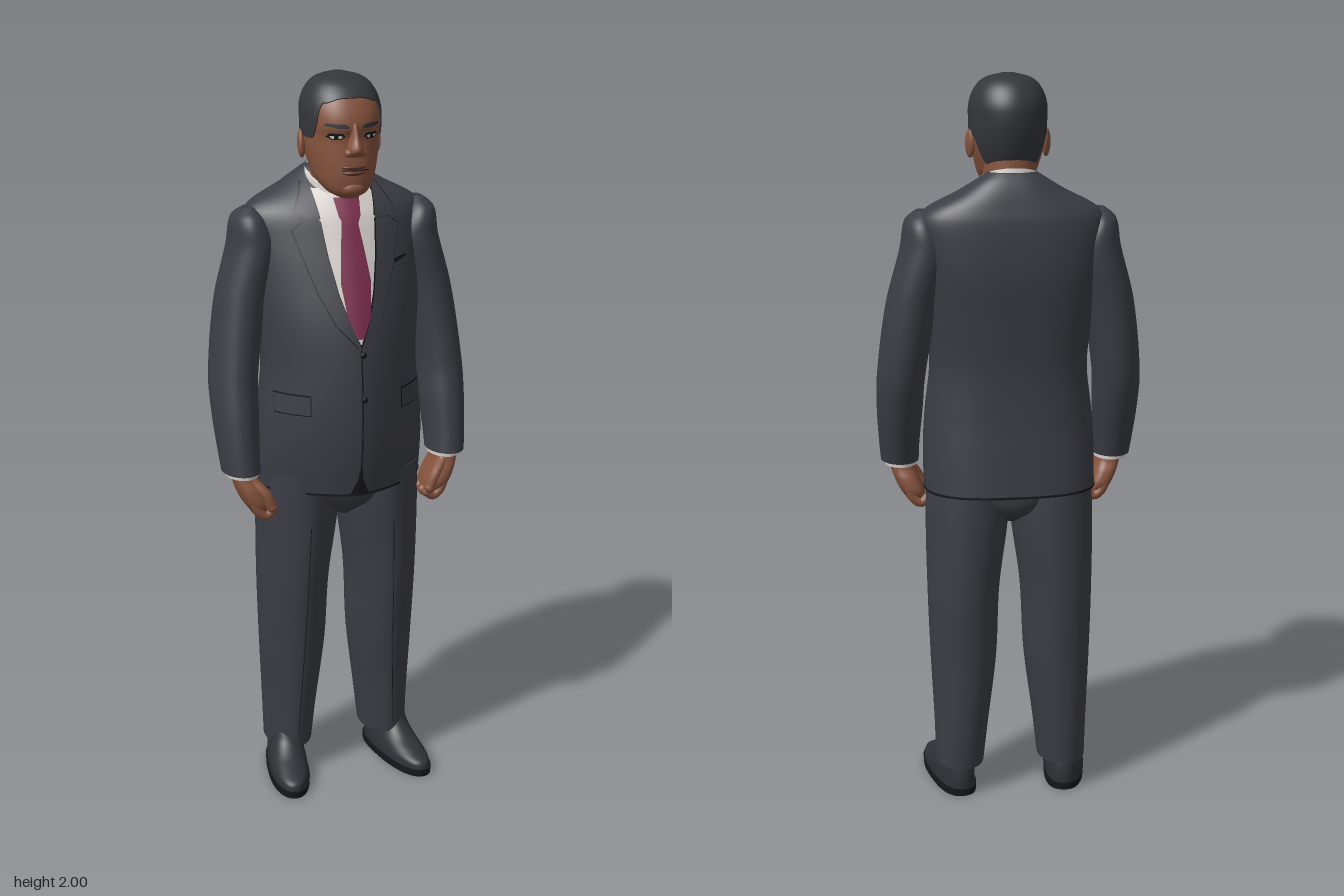
import * as THREE from 'three';

const mat = (name, color, side = THREE.FrontSide) => {
  const m = new THREE.MeshStandardMaterial({ color, side });
  m.name = name;
  return m;
};

// Cross-section rows are [y, centreX, halfWidth, zBack, zFront], smoothly interpolated in y
function section(rows, y) {
  const last = rows.length - 1;
  let i = 0;
  while (i < last - 1 && y > rows[i + 1][0]) i++;
  const h = rows[i + 1][0] - rows[i][0];
  const t = THREE.MathUtils.clamp((y - rows[i][0]) / h, 0, 1);
  const slope = (k, c) => {
    const a = rows[Math.max(k - 1, 0)], b = rows[Math.min(k + 1, last)];
    return (b[c] - a[c]) / (b[0] - a[0]);
  };
  const value = (c) => {
    const p = rows[i][c], q = rows[i + 1][c], t2 = t * t, t3 = t2 * t;
    return p * (2 * t3 - 3 * t2 + 1) + q * (3 * t2 - 2 * t3)
      + h * (slope(i, c) * (t3 - 2 * t2 + t) + slope(i + 1, c) * (t3 - t2));
  };
  const zb = value(3), zf = value(4);
  return { cx: value(1), rx: Math.max(value(2), 0.001), cz: (zb + zf) / 2, rz: Math.max((zf - zb) / 2, 0.001) };
}

// Rounded outline with separate front and back fullness
function ringPoint(rows, y, a, nf, nb, grow = 0) {
  const s = section(rows, y), c = Math.cos(a), d = Math.sin(a), n = d >= 0 ? nf : nb;
  const pow = (v) => Math.sign(v) * Math.pow(Math.abs(v), 2 / n);
  return [s.cx + (s.rx + grow) * pow(c), y, s.cz + (s.rz + grow) * pow(d)];
}

// Closed-ring surface with optional end caps
function tubeSurface(point, nu, nv, caps) {
  const pos = [], idx = [];
  for (let j = 0; j <= nv; j++) for (let i = 0; i < nu; i++) pos.push(...point(i / nu * Math.PI * 2, j / nv));
  for (let j = 0; j < nv; j++) for (let i = 0; i < nu; i++) {
    const a = j * nu + i, b = j * nu + (i + 1) % nu;
    idx.push(a, a + nu, b, b, a + nu, b + nu);
  }
  if (caps) for (const j of [0, nv]) {
    const base = pos.length / 3, mid = [0, 0, 0];
    for (let i = 0; i < nu; i++) {
      const p = pos.slice((j * nu + i) * 3, (j * nu + i) * 3 + 3);
      p.forEach((v, k) => { mid[k] += v / nu; });
      pos.push(...p);
    }
    pos.push(...mid);
    for (let i = 0; i < nu; i++) {
      const a = base + i, b = base + (i + 1) % nu;
      idx.push(base + nu, ...(j ? [b, a] : [a, b]));
    }
  }
  return geometry(pos, idx);
}

function geometry(pos, idx) {
  const g = new THREE.BufferGeometry();
  g.setAttribute('position', new THREE.Float32BufferAttribute(pos, 3));
  g.setIndex(idx);
  g.computeVertexNormals();
  return g;
}

function loft(rows, { nf = 2, nb = 2, tilt = 0, nu = 48, nv = 40 } = {}) {
  const y0 = rows[0][0], y1 = rows[rows.length - 1][0];
  return tubeSurface((a, t) => {
    const p = ringPoint(rows, y0 + (y1 - y0) * t, a, nf, nb);
    p[1] -= tilt * (p[2] + 0.05);
    return p;
  }, nu, nv, true);
}

// Thin panel lying on the front of a loft; spans are [y, x0, x1]
function panel(rows, nf, spans, offset, side = 1) {
  const pos = [], idx = [], nx = 10, ny = 8, total = (spans.length - 1) * ny;
  for (let j = 0; j <= total; j++) {
    const k = Math.min(Math.floor(j / ny), spans.length - 2), t = j / ny - k;
    const [y, p, q] = spans[k].map((v, c) => v + (spans[k + 1][c] - v) * t);
    const x0 = Math.min(p * side, q * side), x1 = Math.max(p * side, q * side), s = section(rows, y);
    for (let i = 0; i <= nx; i++) {
      const x = x0 + (x1 - x0) * i / nx, u = Math.min(Math.abs(x - s.cx) / s.rx, 1);
      pos.push(x, y, s.cz + s.rz * Math.pow(1 - Math.pow(u, nf), 1 / nf) + offset);
    }
  }
  for (let j = 0; j < total; j++) for (let i = 0; i < nx; i++) {
    const a = j * (nx + 1) + i, c = a + nx + 1;
    idx.push(a, a + 1, c, a + 1, c + 1, c);
  }
  return geometry(pos, idx);
}

const TORSO = [[0.885, 0, 0.235, -0.185, 0.165], [1.0, 0, 0.235, -0.175, 0.183], [1.1, 0, 0.228, -0.167, 0.188],
  [1.22, 0, 0.215, -0.165, 0.183], [1.35, 0, 0.225, -0.175, 0.163], [1.48, 0, 0.24, -0.186, 0.125],
  [1.57, 0, 0.25, -0.184, 0.092], [1.63, 0, 0.248, -0.178, 0.068], [1.66, 0, 0.222, -0.17, 0.05],
  [1.7, 0, 0.145, -0.158, 0.022], [1.735, 0, 0.088, -0.142, -0.015], [1.75, 0, 0.065, -0.128, -0.03]];
const HEAD = [[1.685, 0, 0.025, 0.03, 0.095], [1.7, 0, 0.052, 0, 0.113], [1.73, 0, 0.075, -0.06, 0.12],
  [1.77, 0, 0.088, -0.092, 0.121], [1.81, 0, 0.096, -0.11, 0.118], [1.845, 0, 0.099, -0.12, 0.117],
  [1.875, 0, 0.1, -0.125, 0.126], [1.92, 0, 0.099, -0.123, 0.114], [1.96, 0, 0.083, -0.102, 0.088],
  [1.985, 0, 0.055, -0.07, 0.052], [1.996, 0, 0.012, -0.03, 0.005]];
const ARM = [[1.65, 0.238, 0.015, -0.08, -0.03], [1.625, 0.24, 0.042, -0.125, 0.015], [1.55, 0.23, 0.066, -0.145, 0.033],
  [1.4, 0.266, 0.069, -0.14, 0.04], [1.2, 0.295, 0.065, -0.12, 0.065], [1.1, 0.298, 0.062, -0.09, 0.085],
  [1.0, 0.298, 0.055, -0.052, 0.102], [0.95, 0.296, 0.052, -0.034, 0.11]].reverse();
const LEG = [[0.085, 0.145, 0.067, -0.14, 0.05], [0.2, 0.14, 0.075, -0.15, 0.06], [0.4, 0.132, 0.092, -0.155, 0.08],
  [0.6, 0.13, 0.1, -0.16, 0.1], [0.8, 0.118, 0.114, -0.157, 0.112], [0.93, 0.115, 0.112, -0.15, 0.12]];
const HAND = [[0.835, 0.25, 0.026, -0.005, 0.095], [0.865, 0.263, 0.034, -0.018, 0.106], [0.9, 0.278, 0.035, -0.014, 0.104],
  [0.93, 0.288, 0.034, -0.002, 0.094], [0.97, 0.294, 0.034, 0, 0.085]];

export function createModel() {
  const root = new THREE.Group();
  root.name = 'standingMan';
  const suit = mat('charcoalSuit', 0x3c3d45), line = mat('darkEdge', 0x17171a, THREE.DoubleSide);
  const skin = mat('brownSkin', 0x87543e), lips = mat('lips', 0x653a2e), hair = mat('hair', 0x35363b);
  const shirt = mat('whiteShirt', 0xd9d3cf), tie = mat('burgundyTie', 0x7c2f4e), leather = mat('shoeLeather', 0x303137);

  const add = (name, geo, material, parent = root) => {
    const m = new THREE.Mesh(geo, material);
    m.name = name;
    parent.add(m);
    return m;
  };
  const ball = (name, material, p, scale) => {
    const m = add(name, new THREE.SphereGeometry(1, 24, 16), material);
    m.position.set(...p);
    m.scale.set(...scale);
    return m;
  };
  const finger = (name, points, r) => {
    const path = new THREE.CatmullRomCurve3(points.map((p) => new THREE.Vector3(...p)));
    add(name, new THREE.TubeGeometry(path, 12, r, 10), skin);
    for (const p of [points[0], points[points.length - 1]]) ball(name + 'Tip', skin, p, [r, r, r]);
  };
  const NF = 1.55;
  const onChest = (name, spans, offset, material, side) => add(name, panel(TORSO, NF, spans, offset, side), material);
  const onFace = (name, spans, offset, material, side) => add(name, panel(HEAD, 2.2, spans, offset, side), material);

  // Jacket body, hem edge and trouser seat
  add('jacket', loft(TORSO, { nf: NF, nb: 2.7, nu: 96, nv: 80 }), suit);
  const hem = (y) => [y, 0, 0.2365, -0.1865, 0.1665];
  add('jacketHem', loft([hem(0.883), hem(0.889)], { nf: NF, nb: 2.7, nu: 96, nv: 1 }), line);
  add('trouserSeat', loft([[0.79, 0, 0.03, -0.08, 0.05], [0.83, 0, 0.11, -0.14, 0.1], [0.9, 0, 0.22, -0.155, 0.125]]), suit);

  // Shirt front, tie and front closure
  onChest('shirtFront', [[1.31, -0.003, 0.003], [1.4, -0.046, 0.046], [1.5, -0.064, 0.064], [1.6, -0.075, 0.075], [1.7, -0.083, 0.083]], 0.004, shirt);
  onChest('tieBlade', [[1.325, -0.008, 0.008], [1.38, -0.032, 0.032], [1.47, -0.042, 0.042], [1.56, -0.031, 0.031], [1.63, -0.021, 0.021]], 0.009, tie);
  onChest('tieKnot', [[1.615, -0.02, 0.02], [1.635, -0.03, 0.03], [1.68, -0.036, 0.036]], 0.018, tie);
  onChest('frontSeam', [[0.89, -0.026, 0.026], [0.93, -0.008, 0.008], [0.97, -0.002, 0.002], [1.31, -0.002, 0.002]], 0.003, line);
  for (const y of [1.16, 1.28]) {
    const s = section(TORSO, y);
    ball('jacketButton', line, [0.006, y, s.cz + s.rz], [0.009, 0.009, 0.005]);
  }
  onChest('breastPocket', [[1.5, 0.125, 0.127], [1.512, 0.125, 0.17], [1.516, 0.15, 0.17]], 0.004, line);

  // Neck and shirt collar
  add('neck', loft([[1.64, 0, 0.075, -0.11, 0.03], [1.72, 0, 0.07, -0.105, 0.03], [1.82, 0, 0.072, -0.1, 0.05]]), skin);
  add('shirtCollar', loft([[1.64, 0, 0.092, -0.14, 0.045], [1.735, 0, 0.08, -0.122, 0.038]], { tilt: 0.38 }), shirt);

  // Head, nose and hair cap with a shaped hairline
  add('head', loft(HEAD, { nf: 2.2, nb: 2, nu: 64, nv: 60 }), skin);
  add('nose', loft([[1.797, 0, 0.014, 0.1, 0.126], [1.806, 0, 0.023, 0.095, 0.146], [1.82, 0, 0.022, 0.095, 0.154],
    [1.85, 0, 0.013, 0.095, 0.141], [1.885, 0, 0.011, 0.095, 0.128]], { nf: 1.7 }), skin);
  const smooth = THREE.MathUtils.smoothstep;
  const hairline = (a) => {
    const f = Math.sin(a);
    return 1.765 + 0.075 * smooth(f, -0.75, -0.3) + 0.095 * smooth(f, 0.4, 0.72) + 0.012 * smooth(f, 0.75, 1);
  };
  add('hair', tubeSurface((a, t) => {
    const p = ringPoint(HEAD, THREE.MathUtils.lerp(hairline(a), 1.996, t), a, 2.2, 2, 0.004);
    p[1] += 0.004 * t;
    return p;
  }, 96, 36, true), hair);

  // Mouth and chin
  ball('upperLip', lips, [0, 1.771, 0.115], [0.034, 0.007, 0.013]);
  ball('lowerLip', lips, [0, 1.756, 0.115], [0.03, 0.008, 0.014]);
  onFace('mouthLine', [[1.7625, -0.036, 0.036], [1.7655, -0.036, 0.036]], 0.009, line);
  ball('chin', skin, [0, 1.713, 0.1], [0.034, 0.022, 0.024]);

  for (const s of [1, -1]) {
    const side = s > 0 ? 'left' : 'right';
    const mirror = (rows) => rows.map(([y, x, ...rest]) => [y, x * s, ...rest]);

    // Eyes, brows and ears
    onFace(side + 'EyeLids', [[1.842, 0.036, 0.056], [1.85, 0.025, 0.07], [1.859, 0.032, 0.064]], 0.003, line, s);
    onFace(side + 'EyeWhite', [[1.845, 0.038, 0.056], [1.85, 0.031, 0.064], [1.853, 0.036, 0.06]], 0.005, shirt, s);
    onFace(side + 'Iris', [[1.844, 0.043, 0.053], [1.855, 0.043, 0.053]], 0.007, line, s);
    onFace(side + 'Brow', [[1.872, 0.018, 0.04], [1.878, 0.018, 0.076], [1.884, 0.03, 0.07]], 0.004, hair, s);
    ball(side + 'Nostril', skin, [0.018 * s, 1.809, 0.124], [0.012, 0.011, 0.014]);
    ball(side + 'Ear', skin, [0.102 * s, 1.817, -0.012], [0.011, 0.038, 0.022]).rotation.set(-0.15, 0.3 * s, 0);

    // Lapels, collar leaves and hip pockets
    const lapel = [[1.3, 0, 0.006], [1.36, 0.026, 0.06], [1.44, 0.05, 0.098], [1.53, 0.067, 0.127], [1.6, 0.075, 0.148], [1.622, 0.077, 0.118]];
    const leaf = [[1.628, 0.077, 0.118], [1.645, 0.079, 0.138], [1.69, 0.084, 0.112], [1.715, 0.086, 0.1]];
    const edge = (spans) => spans.map(([y, a, b]) => [y, a - 0.003, b + 0.003]);
    onChest(side + 'LapelEdge', edge(lapel), 0.005, line, s);
    onChest(side + 'Lapel', lapel, 0.009, suit, s);
    onChest(side + 'CollarEdge', edge(leaf), 0.005, line, s);
    onChest(side + 'JacketCollar', leaf, 0.009, suit, s);
    onChest(side + 'ShirtCollarLeaf', [[1.61, 0.05, 0.056], [1.65, 0.036, 0.074], [1.69, 0.024, 0.08]], 0.014, shirt, s);
    onChest(side + 'PocketEdge', [[1.112, 0.127, 0.207], [1.17, 0.127, 0.207]], 0.003, line, s);
    onChest(side + 'PocketFlap', [[1.116, 0.13, 0.207], [1.166, 0.13, 0.207]], 0.006, suit, s);

    // Sleeve, shirt cuff and hand
    add(side + 'Sleeve', loft(mirror(ARM), { nv: 60 }), suit);
    add(side + 'ShirtCuff', loft(mirror([[0.938, 0.294, 0.044, -0.022, 0.1], [0.96, 0.295, 0.046, -0.024, 0.102]]), { nv: 2 }), shirt);
    add(side + 'Hand', loft(mirror(HAND), { nf: 2.6, nb: 2.6 }), skin);
    for (let k = 0; k < 4; k++) {
      const z = -0.003 + k * 0.031, drop = [0.008, 0.002, 0, 0.004][k];
      finger(side + 'Finger', [[0.276 * s, 0.875, z], [0.262 * s, 0.838 + drop, z], [0.243 * s, 0.825 + drop, z], [0.226 * s, 0.836 + drop, z]], 0.0145);
    }
    finger(side + 'Thumb', [[0.275 * s, 0.925, 0.08], [0.245 * s, 0.892, 0.1], [0.229 * s, 0.855, 0.102]], 0.015);

    // Trouser leg with a front crease
    const leg = mirror(LEG);
    add(side + 'TrouserLeg', loft(leg, { nf: 1.8, nb: 2.1, nv: 60 }), suit);
    add(side + 'TrouserCrease', panel(leg, 1.8, [[0.12, 0.1425 * s, 0.1445 * s], [0.4, 0.131 * s, 0.133 * s], [0.78, 0.119 * s, 0.121 * s]], 0.002), line);

    // Shoe, turned slightly outward
    const shoe = new THREE.Group();
    shoe.name = side + 'Shoe';
    shoe.position.set(0.165 * s, 0, 0.01);
    shoe.rotation.y = 0.17 * s;
    root.add(shoe);
    add('sole', loft([[0, 0, 0.057, -0.142, 0.178], [0.02, 0, 0.058, -0.143, 0.18]], { nf: 2.2, nb: 2.6, nv: 2 }), line, shoe);
    add('upper', loft([[0.018, 0, 0.054, -0.139, 0.175], [0.04, 0, 0.054, -0.14, 0.166], [0.056, 0, 0.052, -0.139, 0.13],
      [0.075, 0, 0.049, -0.136, 0.082], [0.1, 0, 0.045, -0.13, 0.045], [0.13, 0, 0.04, -0.12, 0.025]], { nf: 2.2, nb: 2.4 }), leather, shoe);
  }
  return root;
}
